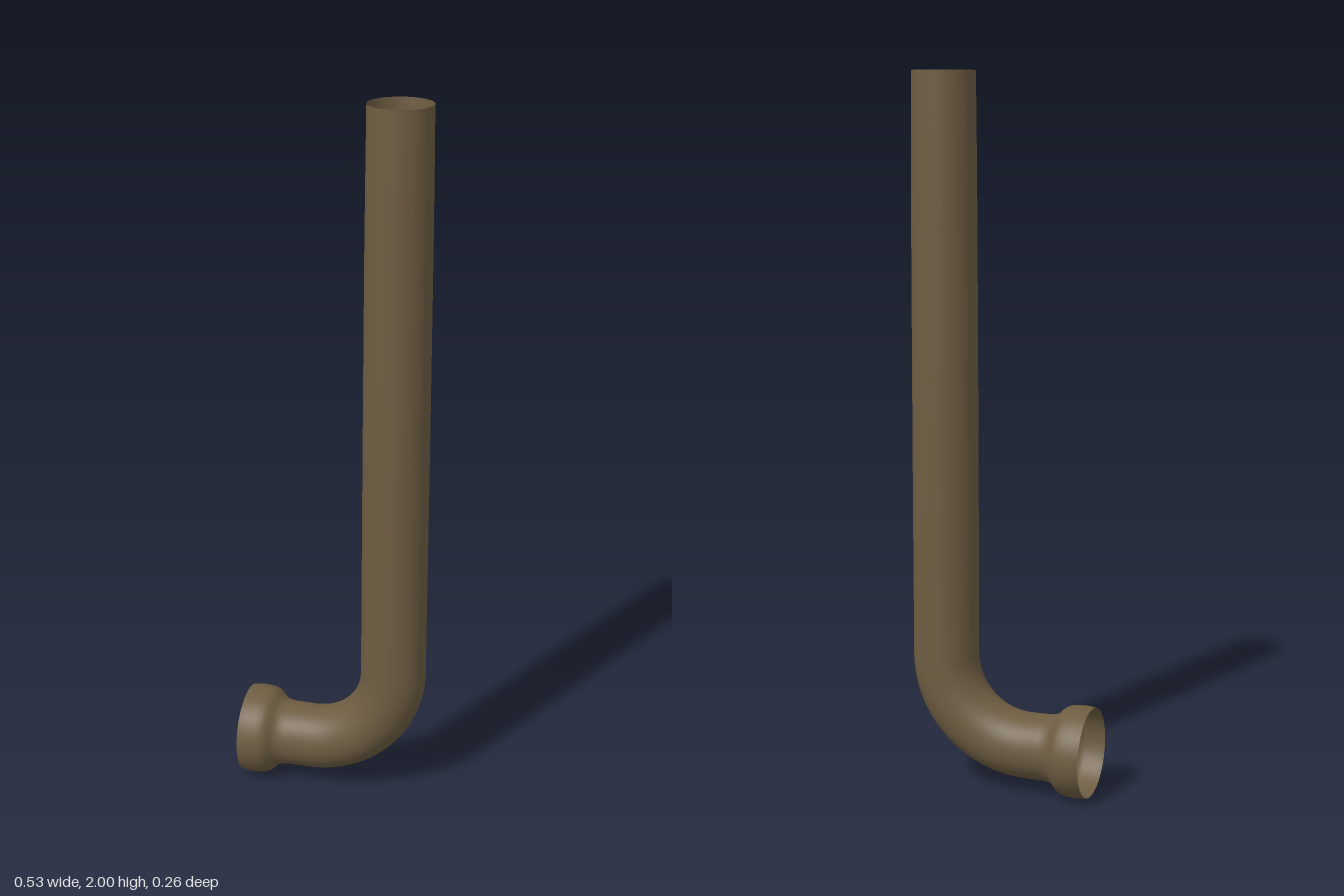
import * as THREE from 'three';

const SIDES = 64;
const AXIS_Y = 0.129, SHAFT_X = 0.17, BEND = 0.245;

// Skin round cross-sections [x, y, heading, radius] lying in the XY plane
function sweep(sections, inward) {
  const pos = [], index = [];
  sections.forEach(([x, y, heading, r], i) => {
    for (let j = 0; j < SIDES; j++) {
      const a = (j / SIDES) * Math.PI * 2;
      const u = r * Math.cos(a);
      pos.push(x - Math.sin(heading) * u, y + Math.cos(heading) * u, r * Math.sin(a));
      if (i === 0) continue;
      const k = (j + 1) % SIDES;
      const p = (i - 1) * SIDES, q = i * SIDES;
      if (inward) index.push(p + j, q + j, p + k, p + k, q + j, q + k);
      else index.push(p + j, p + k, q + j, p + k, q + k, q + j);
    }
  });
  const geo = new THREE.BufferGeometry();
  geo.setAttribute('position', new THREE.Float32BufferAttribute(pos, 3));
  geo.setIndex(index);
  geo.computeVertexNormals();
  return geo;
}

// Socket profile, elbow arc, then the slightly tapering shaft
function pipeSections(socket, bendRadius, shaft) {
  const list = socket.map(([x, r]) => [x, AXIS_Y, 0, r]);
  const cx = SHAFT_X - BEND, cy = AXIS_Y + BEND;
  for (let i = 0; i <= 24; i++) {
    const t = (i / 24) * Math.PI / 2;
    list.push([cx + BEND * Math.sin(t), cy - BEND * Math.cos(t), t, bendRadius]);
  }
  shaft.forEach(([y, r]) => list.push([SHAFT_X, y, Math.PI / 2, r]));
  return list;
}

export function createModel() {
  const group = new THREE.Group();
  group.name = 'drainPipe';
  const brown = new THREE.MeshStandardMaterial({ color: 0x6e5d42, side: THREE.DoubleSide });
  brown.name = 'brown';

  const add = (name, sections, inward) => {
    const mesh = new THREE.Mesh(sweep(sections, inward), brown);
    mesh.name = name;
    group.add(mesh);
  };

  // Outside wall with flared socket
  add('outerWall', pipeSections(
    [[-0.265, 0.126], [-0.25, 0.128], [-0.235, 0.129], [-0.215, 0.128], [-0.2, 0.126], [-0.19, 0.122],
      [-0.18, 0.115], [-0.172, 0.106], [-0.163, 0.099], [-0.15, 0.095], [-0.135, 0.093]],
    0.0925,
    [[0.8, 0.0922], [1.2, 0.0915], [1.6, 0.0905], [1.8, 0.0892], [2, 0.0875]]), false);

  // Inside wall, meeting the outside at both open rims
  add('innerWall', pipeSections(
    [[-0.265, 0.126], [-0.25, 0.123], [-0.21, 0.122], [-0.195, 0.117],
      [-0.182, 0.105], [-0.17, 0.093], [-0.15, 0.086], [-0.135, 0.084]],
    0.083,
    [[1, 0.083], [1.8, 0.0835], [1.96, 0.085], [2, 0.0875]]), true);

  return group;
}
